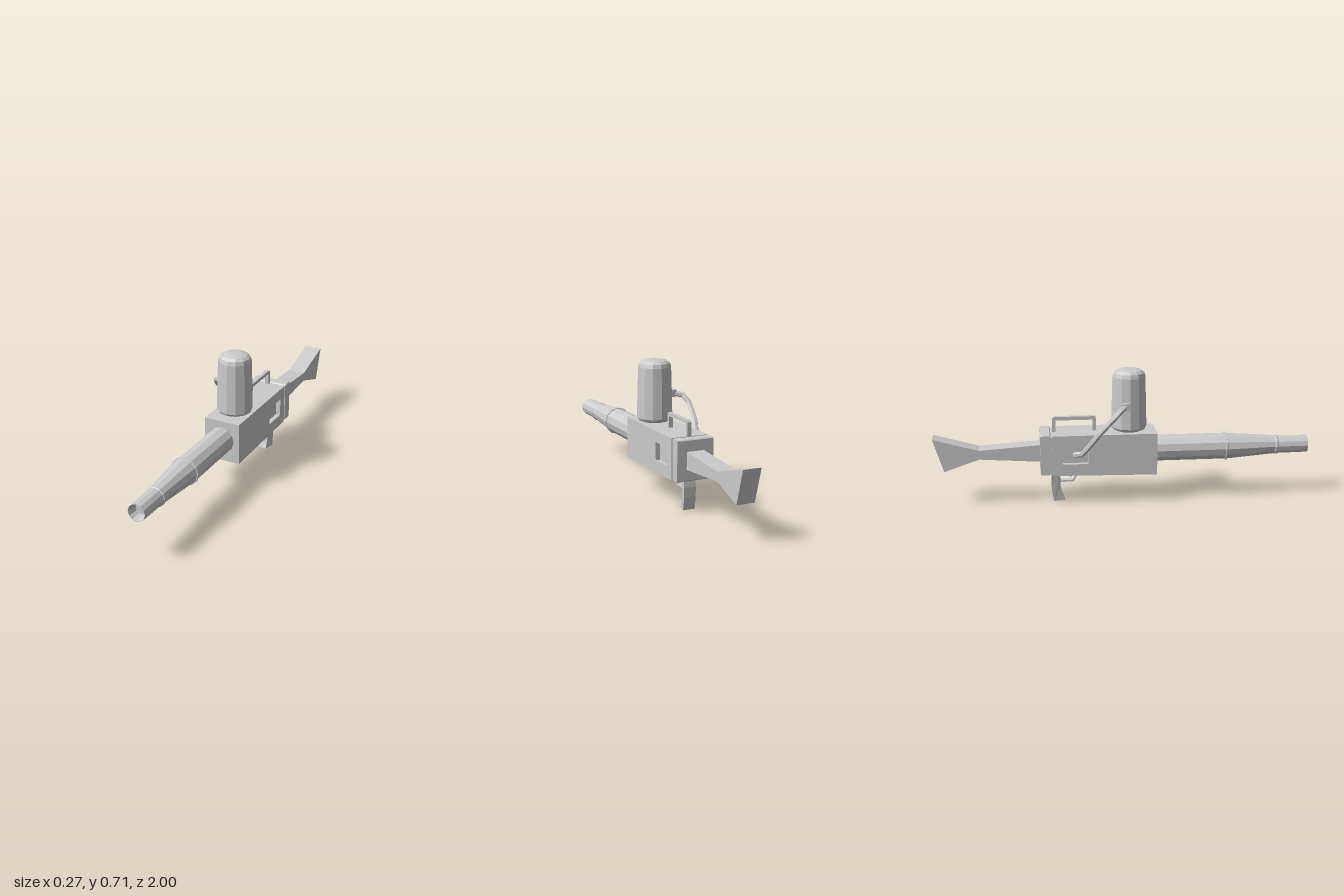
import * as THREE from 'three';

const material = new THREE.MeshStandardMaterial({ color: 0xcccccc, flatShading: true, side: THREE.DoubleSide });
const CX = 0.0325; // middle plane of the model

export function createModel() {
  const root = new THREE.Group();

  function add(name, geometry, x = 0, y = 0, z = 0) {
    const mesh = new THREE.Mesh(geometry, material);
    mesh.name = name;
    mesh.position.set(x, y, z);
    root.add(mesh);
    return mesh;
  }

  // Side profile of [z, y] points, extruded across x from x0 to x1
  function slab(points, x0, x1, hole) {
    const flat = (list) => list.map(([z, y]) => new THREE.Vector2(-z, y));
    const shape = new THREE.Shape(flat(points));
    if (hole) shape.holes.push(new THREE.Path(flat(hole)));
    const geo = new THREE.ExtrudeGeometry(shape, { depth: x1 - x0, bevelEnabled: false });
    return geo.rotateY(Math.PI / 2).translate(x0, 0, 0);
  }

  const lathe = (profile, sides) =>
    new THREE.LatheGeometry(profile.map(([r, h]) => new THREE.Vector2(r, h)), sides);

  // Receiver: solid core between two side plates with a window pocket
  const bodyProfile = [[0.174, 0.155], [0.174, 0.38], [-0.376, 0.38], [-0.376, 0.164]];
  const pocket = [[-0.19, 0.225], [-0.19, 0.32], [-0.325, 0.32], [-0.325, 0.225]];
  add('receiverCore', slab(bodyProfile, -0.042, 0.107));
  add('receiverPlateRight', slab(bodyProfile, -0.067, -0.042, pocket));
  add('receiverPlateLeft', slab(bodyProfile, 0.107, 0.132, pocket));

  // Rear collar with chamfered ends and a narrow neck in front of it
  add('collarNeck', new THREE.BoxGeometry(0.185, 0.195, 0.02), CX, 0.274, -0.382);
  add('rearCollar', slab([[-0.385, 0.174], [-0.385, 0.376], [-0.39, 0.381], [-0.436, 0.381],
    [-0.441, 0.376], [-0.441, 0.174], [-0.436, 0.169], [-0.39, 0.169]], -0.067, 0.132));

  // Shoulder stock
  add('stock', slab([[-0.435, 0.228], [-0.435, 0.32], [-0.76, 0.298], [-1, 0.365],
    [-0.945, 0.187], [-0.76, 0.25]], -0.015, 0.08));

  // Barrel with two raised rings and a recessed muzzle
  const barrel = [[0.071, 0.16], [0.071, 0.547], [0.077, 0.549], [0.077, 0.557], [0.071, 0.559],
    [0.05, 0.82], [0.054, 0.824], [0.054, 0.834], [0.049, 0.838], [0.047, 1],
    [0.045, 1], [0.03, 0.955], [0, 0.955]];
  add('barrel', lathe(barrel, 12).rotateX(Math.PI / 2), 0.03, 0.274, 0);

  // Upright tank
  const tank = [[0, 0.375], [0.065, 0.378], [0.087, 0.388], [0.094, 0.4], [0.092, 0.5], [0.087, 0.67],
    [0.081, 0.69], [0.066, 0.702], [0.04, 0.709], [0, 0.711]];
  add('tank', lathe(tank, 12), 0.035, 0, 0.033);

  // Feed hose from the tank down into the side pocket
  add('hoseFitting', new THREE.BoxGeometry(0.03, 0.038, 0.04), -0.056, 0.526, 0.008);
  const hosePath = new THREE.CurvePath();
  const hosePoints = [[-0.06, 0.527, 0.005], [-0.113, 0.51, -0.03], [-0.121, 0.455, -0.085],
    [-0.119, 0.4, -0.135], [-0.097, 0.325, -0.19], [-0.075, 0.28, -0.225], [-0.04, 0.268, -0.262]];
  hosePath.add(new THREE.CatmullRomCurve3(hosePoints.map((p) => new THREE.Vector3(...p))));
  add('feedHose', new THREE.TubeGeometry(hosePath, 8, 0.015, 6, false));

  // Carrying handle
  add('carryHandle', slab([[-0.143, 0.37], [-0.143, 0.45], [-0.153, 0.46], [-0.365, 0.46],
    [-0.375, 0.45], [-0.375, 0.37], [-0.357, 0.37], [-0.357, 0.441], [-0.161, 0.441],
    [-0.161, 0.37]], 0.022, 0.043));

  // Pistol grip, narrower along its front edge
  const grip = slab([[-0.337, 0.175], [-0.334, 0.12], [-0.337, 0.075], [-0.326, 0.03], [-0.314, 0],
    [-0.372, 0], [-0.376, 0.02], [-0.383, 0.07], [-0.384, 0.12], [-0.378, 0.175]], 0, 0.065);
  const pos = grip.attributes.position;
  for (let i = 0; i < pos.count; i++) {
    if (pos.getZ(i) > -0.345) pos.setX(i, CX + (pos.getX(i) - CX) * 0.62);
  }
  add('grip', grip);

  // Trigger guard and trigger
  add('triggerGuard', slab([[-0.224, 0.17], [-0.265, 0.101], [-0.345, 0.101], [-0.345, 0.11],
    [-0.271, 0.11], [-0.236, 0.17]], 0.017, 0.048));
  add('trigger', slab([[-0.293, 0.17], [-0.291, 0.148], [-0.276, 0.127], [-0.283, 0.124],
    [-0.301, 0.144], [-0.305, 0.17]], 0.024, 0.041));

  return root;
}
